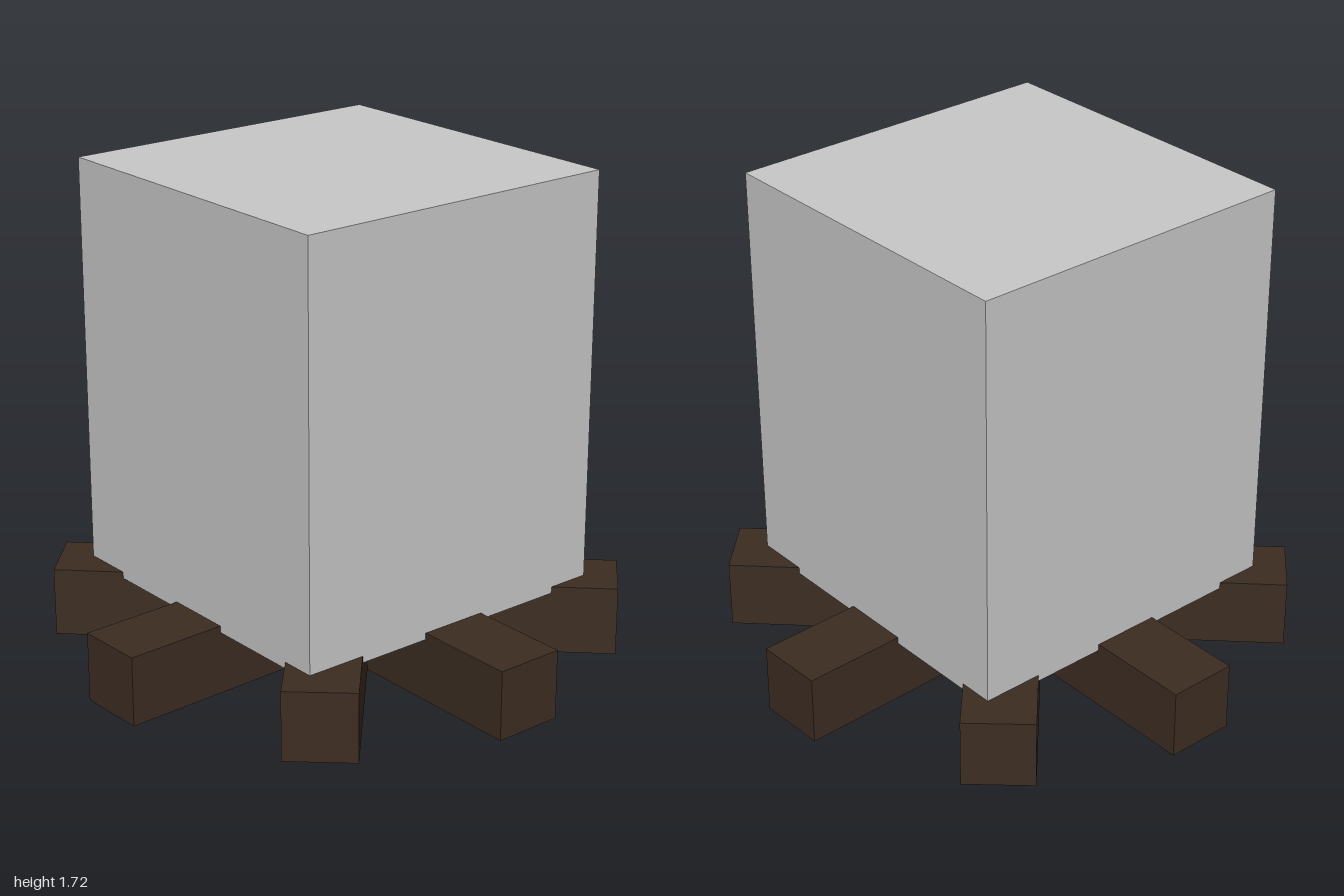
import * as THREE from 'three';

const mat = (name, color) => {
  const m = new THREE.MeshStandardMaterial({ color });
  m.name = name;
  return m;
};

export function createModel() {
  const group = new THREE.Group();
  const wood = mat('dark brown wood', 0x3d2d22);
  const grey = mat('light grey', 0xc9c9c9);
  const orange = mat('ember orange', 0xb8701a);

  const addBox = (name, material, size, position, turn = 0) => {
    const mesh = new THREE.Mesh(new THREE.BoxGeometry(...size), material);
    mesh.name = name;
    mesh.position.set(...position);
    mesh.rotation.y = turn;
    group.add(mesh);
  };

  // four full-length logs crossing at the centre, laid slightly unevenly
  [0.028, 0.83, Math.PI / 2, -0.772].forEach((turn, i) => {
    addBox(`log${i + 1}`, wood, [0.25, 0.25, 1.99], [-0.002, 0.125, -0.002], turn);
  });

  // large block resting in the logs
  addBox('block', grey, [1.24, 1.494, 1.24], [0, 0.973, 0]);

  // ember strips under the block, seen between the logs
  for (let i = -8; i <= 8; i++) {
    addBox('emberStrip', orange, [0.72, 0.004, 0.025], [0, 0.225, 0].map((v, k) =>
      k === 1 ? v : v + i * 0.06 * Math.SQRT1_2), Math.PI / 4);
  }
  return group;
}
